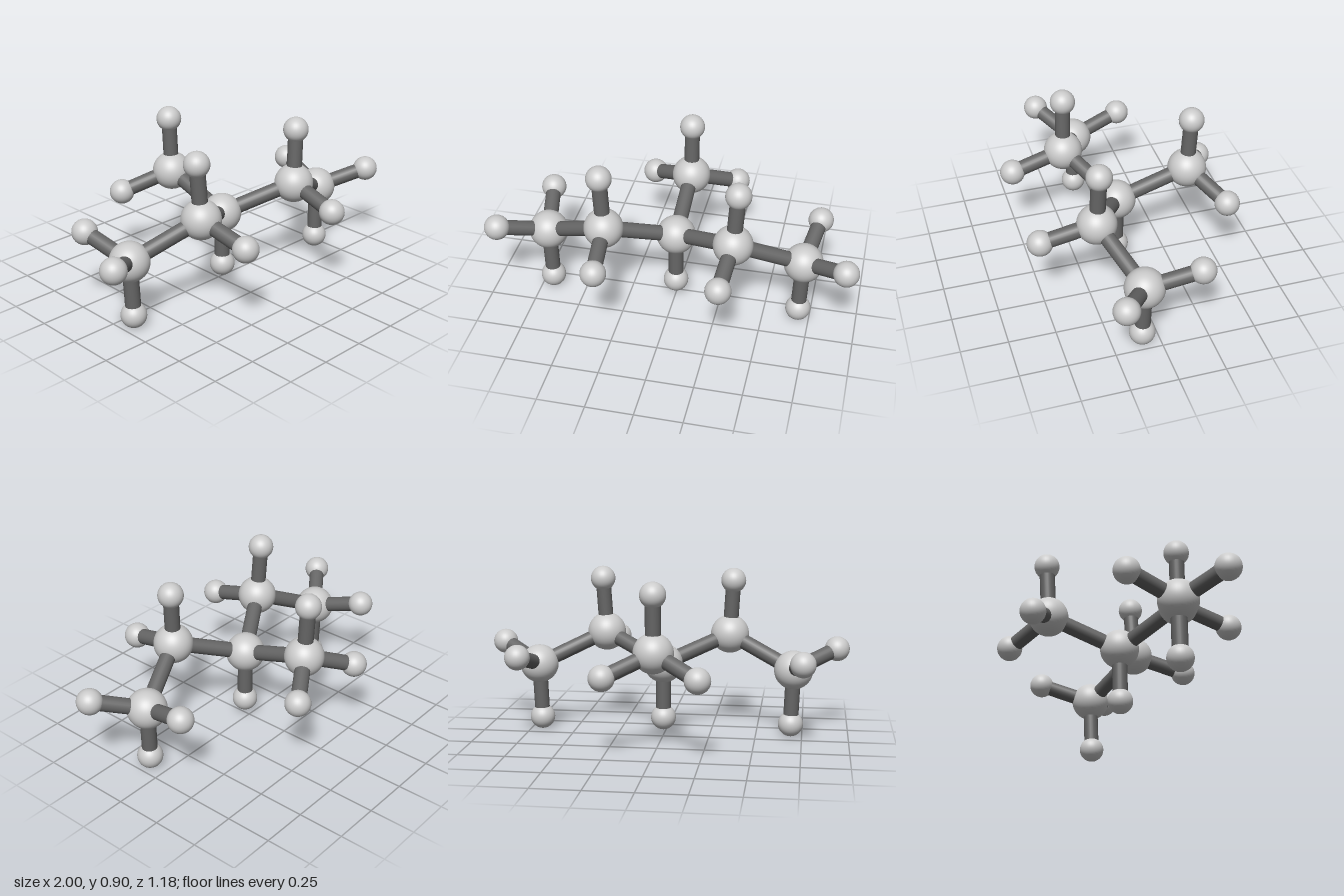
import * as THREE from 'three';

const BIG = 0.105, SMALL = 0.068, ROD = 0.041;

export function createModel() {
  const model = new THREE.Group();
  model.name = 'moleculeModel';
  const atomMat = new THREE.MeshStandardMaterial({ color: 0xcccccc });
  const bondMat = new THREE.MeshStandardMaterial({ color: 0x666666 });
  const bigGeo = new THREE.SphereGeometry(BIG, 40, 28);
  const smallGeo = new THREE.SphereGeometry(SMALL, 32, 22);
  const up = new THREE.Vector3(0, 1, 0);

  const atom = (name, geo, pos) => {
    const mesh = new THREE.Mesh(geo, atomMat);
    mesh.name = name;
    mesh.position.copy(pos);
    model.add(mesh);
  };

  // Rod running between two atom centres
  const bond = (name, a, b) => {
    const dir = b.clone().sub(a);
    const geo = new THREE.CylinderGeometry(ROD, ROD, dir.length(), 24);
    const mesh = new THREE.Mesh(geo, bondMat);
    mesh.name = name;
    mesh.position.copy(a).add(b).multiplyScalar(0.5);
    mesh.quaternion.setFromUnitVectors(up, dir.normalize());
    model.add(mesh);
  };

  // A carbon, the bond to its parent and its hydrogens
  const carbon = (name, pos, parent, hydrogens) => {
    atom(name + 'Carbon', bigGeo, pos);
    if (parent) bond(name + 'CarbonBond', parent, pos);
    hydrogens.forEach((h, i) => {
      atom(name + 'Hydrogen' + (i + 1), smallGeo, h);
      bond(name + 'HydrogenBond' + (i + 1), pos, h);
    });
    return pos;
  };

  const v = (x, y, z) => new THREE.Vector3(x, y, z);

  // Centre and rear branch
  const centre = carbon('centre', v(0, 0.403, 0.026), null, [v(0, 0.103, 0.03)]);
  carbon('rear', v(0, 0.533, -0.372), centre,
    [v(0, 0.832, -0.389), v(0.24, 0.43, -0.52), v(-0.24, 0.43, -0.52)]);

  // Mirrored side chains
  for (const [side, s] of [['left', 1], ['right', -1]]) {
    const inner = carbon(side + 'Inner', v(s * 0.344, 0.537, 0.23), centre,
      [v(s * 0.362, 0.835, 0.219), v(s * 0.322, 0.463, 0.523)]);
    carbon(side + 'End', v(s * 0.699, 0.372, 0.086), inner,
      [v(s * 0.688, 0.071, 0.093), v(s * 0.932, 0.463, 0.25), v(s * 0.752, 0.458, -0.198)]);
  }
  return model;
}
